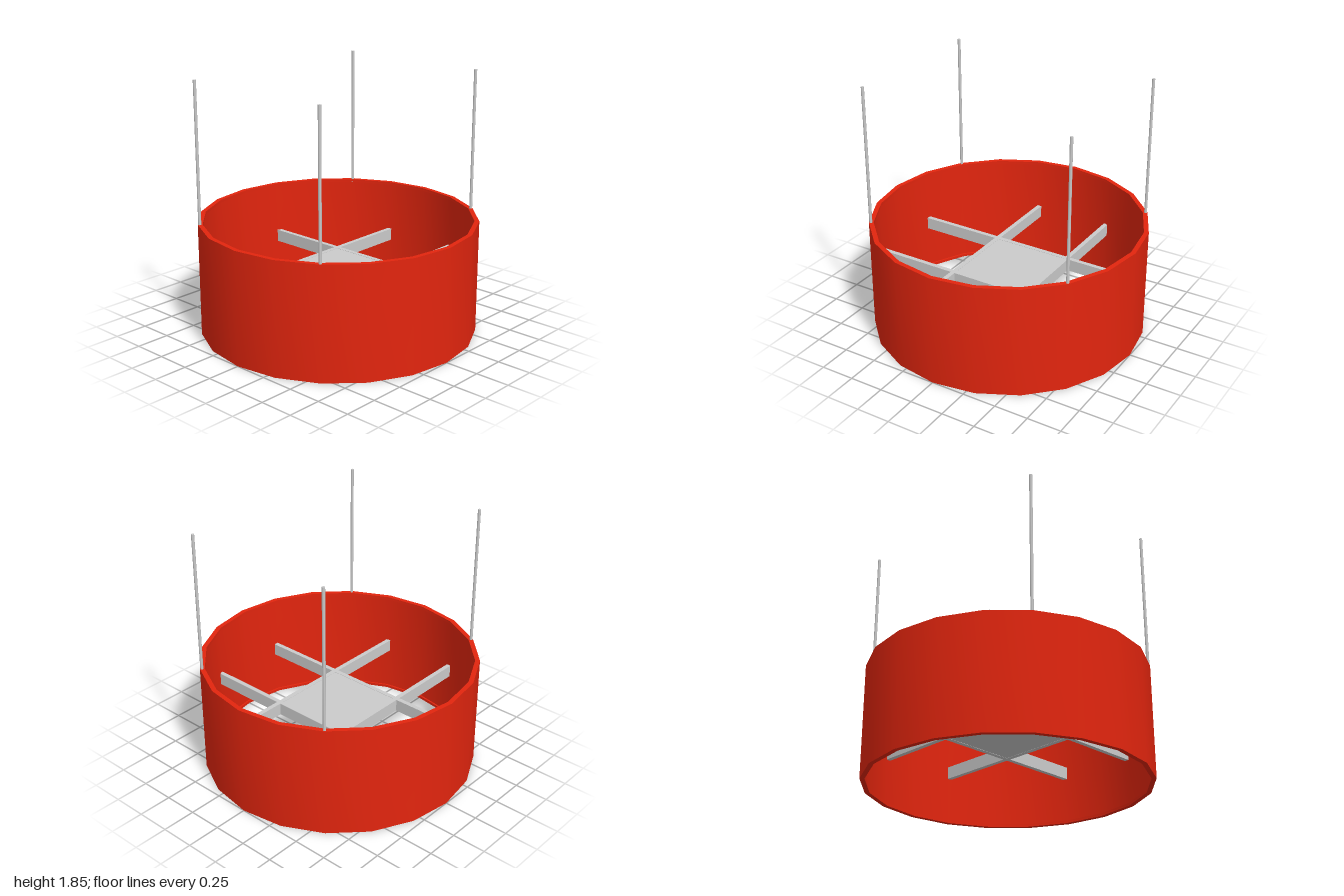
import * as THREE from 'three';
import { toCreasedNormals } from 'three/addons/utils/BufferGeometryUtils.js';

export function createModel() {
  const model = new THREE.Group();
  model.name = 'drumPendant';
  const red = new THREE.MeshStandardMaterial({ color: 0xe3250e });
  const grey = new THREE.MeshStandardMaterial({ color: 0xcccccc });

  const add = (name, geometry, material, x = 0, y = 0, z = 0) => {
    const mesh = new THREE.Mesh(geometry, material);
    mesh.name = name;
    mesh.position.set(x, y, z);
    model.add(mesh);
  };

  // Twenty-sided drum shade with a small inner lip at both rims
  const height = 0.825, lip = 0.02, rimR = 0.966, wallR = 0.98;
  const profile = [
    [rimR, 0], [1, 0], [1, height], [rimR, height],
    [rimR, height - lip], [wallR, height - lip], [wallR, lip], [rimR, lip], [rimR, 0],
  ].map(([r, y]) => new THREE.Vector2(r, y));
  add('shade', toCreasedNormals(new THREE.LatheGeometry(profile, 20), 0.6), red);

  // Crossed support bars, reaching the inside of the shade
  const barW = 0.034, barH = 0.092, barY = 0.393, barL = 1.86;
  for (const x of [-0.3, 0.3]) add('lengthwiseBar', new THREE.BoxGeometry(barW, barH, barL), grey, x, barY, 0);
  for (const z of [-0.313, 0.287]) add('crosswiseBar', new THREE.BoxGeometry(barL, barH, barW), grey, 0, barY, z);

  // Square panel framed by the bars
  add('centrePanel', new THREE.BoxGeometry(0.585, 0.088, 0.585), grey, 0.008, barY, -0.013);

  // Four hanging rods standing on the rim
  const rodBase = 0.8, rodTop = 1.85;
  const rod = new THREE.CylinderGeometry(0.011, 0.011, rodTop - rodBase, 8);
  for (const x of [-0.58, 0.58])
    for (const z of [-0.797, 0.797]) add('hangingRod', rod, grey, x, (rodBase + rodTop) / 2, z);

  return model;
}
